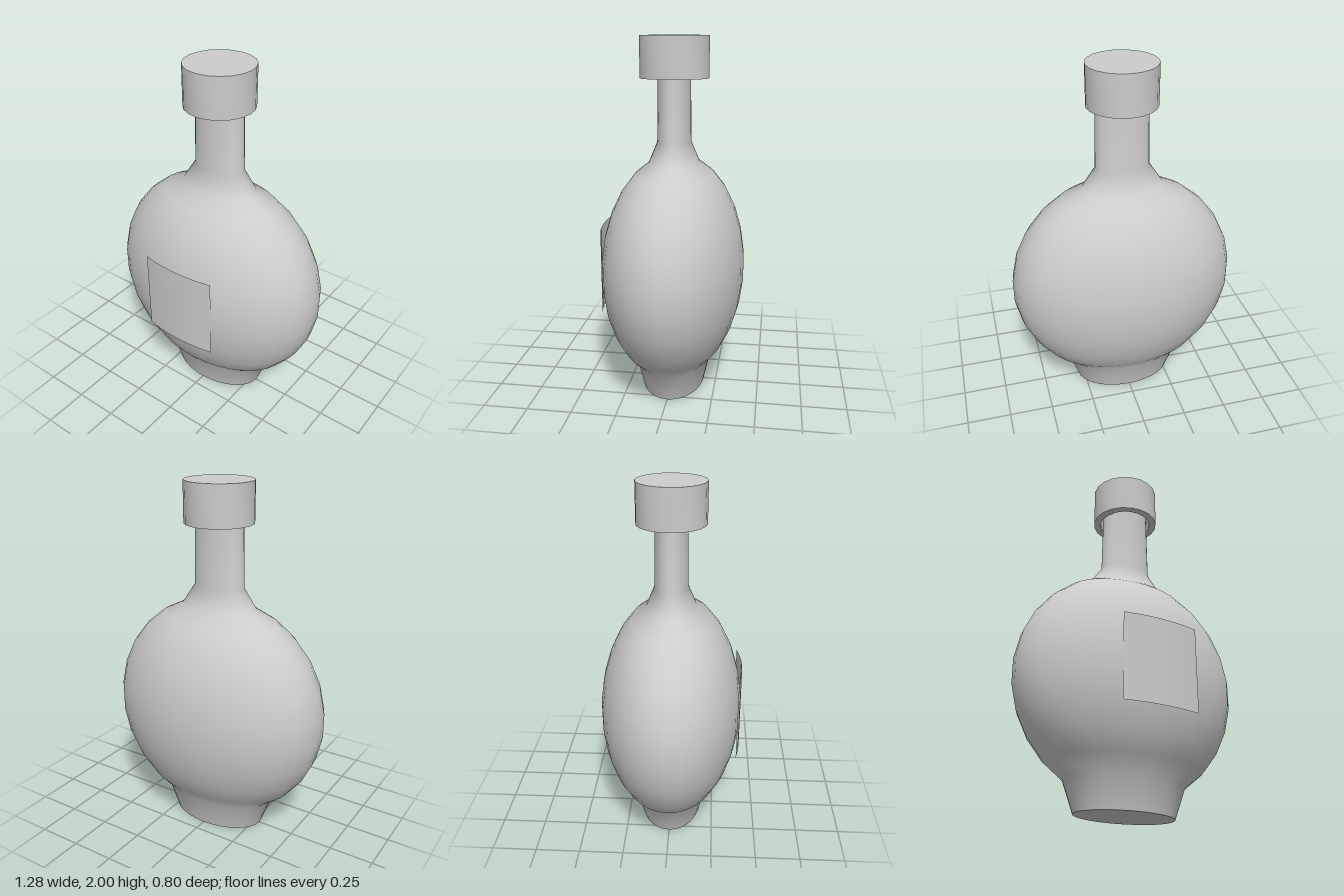
import * as THREE from 'three';
import { toCreasedNormals } from 'three/addons/utils/BufferGeometryUtils.js';

const FLATTEN = 0.622; // depth of the flask relative to its width

export function createModel() {
  const group = new THREE.Group();
  const grey = new THREE.MeshStandardMaterial({ color: 0xcccccc, side: THREE.DoubleSide });
  grey.name = 'light grey';

  const add = (name, geometry) => {
    const mesh = new THREE.Mesh(geometry, grey);
    mesh.name = name;
    group.add(mesh);
    return mesh;
  };
  const disc = (radius, segments, y, up) =>
    new THREE.CircleGeometry(radius, segments, Math.PI / 2)
      .rotateX(up ? -Math.PI / 2 : Math.PI / 2)
      .translate(0, y, 0);

  // Flask: tapered foot, round belly and slim neck, squashed front to back
  const profile = [new THREE.Vector2(0.285, 0)];
  for (let i = 0; i <= 10; i++) {
    const a = THREE.MathUtils.degToRad(-57.5 + 12.7 * i);
    profile.push(new THREE.Vector2(0.645 * Math.cos(a), 0.712 + 0.645 * Math.sin(a)));
  }
  profile.push(new THREE.Vector2(0.15, 1.43), new THREE.Vector2(0.14, 1.95));
  add('body', new THREE.LatheGeometry(profile, 32).scale(1, 1, FLATTEN));
  add('base', disc(0.285, 32, 0, false).scale(1, 1, FLATTEN));
  add('neckTop', disc(0.14, 32, 1.95, true).scale(1, 1, FLATTEN));

  // Hollow round cap
  const capProfile = [[0.15, 1.97], [0.15, 1.775], [0.19, 1.775], [0.19, 2]]
    .map(([r, y]) => new THREE.Vector2(r, y));
  add('cap', toCreasedNormals(new THREE.LatheGeometry(capProfile, 20), 0.7));
  add('capTop', disc(0.19, 20, 2, true));

  // Label wrapped around the front of the belly
  const half = Math.asin(0.22 / 0.647);
  add('label', new THREE.CylinderGeometry(0.647, 0.647, 0.475, 12, 1, true, -half, half * 2)
    .scale(1, 1, FLATTEN)
    .translate(0, 0.7175, 0));

  return group;
}
